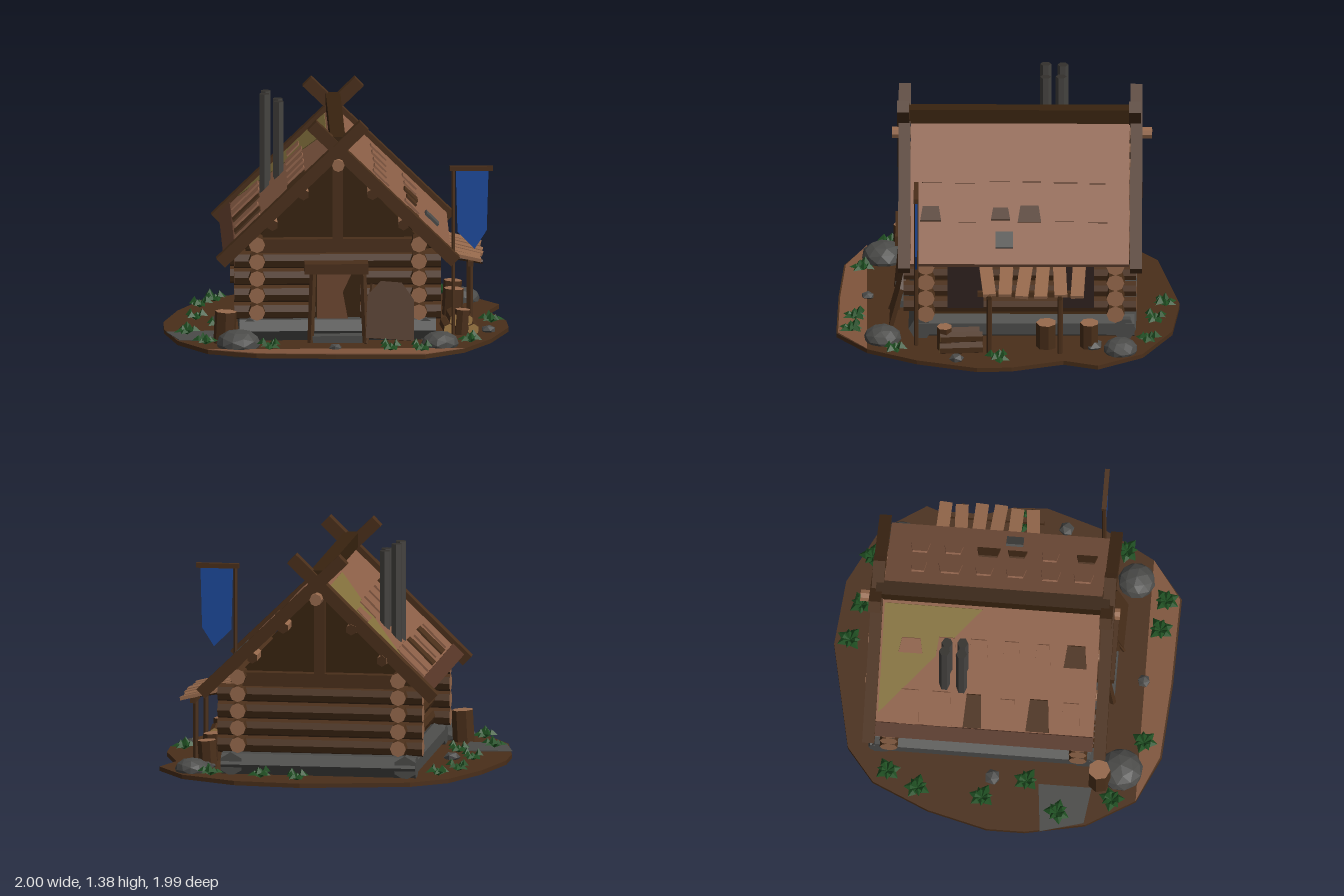
import * as THREE from 'three';

const WOOD = 0x4a2f1a, DARK = 0x38230f, CUT = 0x96694c, ROOF = 0x8c5f47, STONE = 0x4b4b49;
const mats = {};
const mat = (color) => (mats[color] ??= new THREE.MeshStandardMaterial({ color, flatShading: true, side: THREE.DoubleSide }));

export function createModel() {
  const model = new THREE.Group();
  let seed = 7;
  const rnd = () => (seed = (seed * 16807) % 2147483647) / 2147483647;

  function add(name, geo, material, x = 0, y = 0, z = 0, parent = model) {
    const m = new THREE.Mesh(geo, typeof material === 'number' ? mat(material) : material);
    m.name = name;
    m.position.set(x, y, z);
    parent.add(m);
    return m;
  }
  const box = (name, w, h, d, x, y, z, color, parent) => add(name, new THREE.BoxGeometry(w, h, d), color, x, y, z, parent);
  // round timber between two points, with paler cut ends
  function log(name, a, b, r, color = WOOD, end = CUT, sides = 8) {
    const from = new THREE.Vector3(...a), to = new THREE.Vector3(...b);
    const dir = to.clone().sub(from);
    const m = add(name, new THREE.CylinderGeometry(r, r, dir.length(), sides), [mat(color), mat(end), mat(end)]);
    m.position.copy(from).add(to).multiplyScalar(0.5);
    m.quaternion.setFromUnitVectors(new THREE.Vector3(0, 1, 0), dir.normalize());
    return m;
  }
  function flat(points, depth) {
    const s = new THREE.Shape(points.map(([x, y]) => new THREE.Vector2(x, y)));
    return new THREE.ExtrudeGeometry(s, { depth, bevelEnabled: false });
  }

  // ground plate, points are x and z
  const rim = [[-1, 0.19], [-1, -0.03], [-0.91, -0.38], [-0.76, -0.71], [-0.56, -0.87], [0.07, -1], [0.46, -0.96],
    [0.79, -0.79], [0.96, -0.53], [0.89, -0.33], [0.99, -0.03], [1, 0.17], [0.89, 0.52], [0.73, 0.81], [0.5, 0.99],
    [-0.02, 0.98], [-0.48, 0.95], [-0.76, 0.82], [-0.93, 0.54]];
  const plate = (pts, h) => flat(pts.map(([x, z]) => [x, -z]), h).rotateX(-Math.PI / 2);
  add('ground', plate(rim, 0.025), WOOD);
  add('frontPath', plate([[-0.76, 0.82], [0.73, 0.81], [0.5, 0.98], [-0.02, 0.97], [-0.48, 0.94]], 0.004), 0x80553c, 0, 0.025, 0);
  add('sideSlab', plate([[-0.99, 0.28], [-0.7, 0.25], [-0.7, 0.56], [-0.92, 0.53]], 0.004), STONE, 0, 0.025, 0);

  // stone footing
  for (const z of [0.5, -0.68]) log('footing', [-0.57, 0.085, z], [0.57, 0.085, z], 0.07, STONE, STONE, 6);
  for (const x of [-0.51, 0.51]) log('footing', [x, 0.085, 0.54], [x, 0.085, -0.74], 0.07, STONE, STONE, 6);
  box('floor', 1, 0.1, 1.12, 0, 0.09, -0.08, DARK);

  // interlocked log walls, with a gap for the door
  for (let i = 0; i < 5; i++) {
    const y = 0.2 + i * 0.1;
    for (const x of [-0.47, 0.47]) log('sideLog', [x, y, 0.6], [x, y, -0.75], 0.047);
    if (i === 4) continue;
    log('backLog', [-0.6, y - 0.01, -0.63], [0.6, y - 0.01, -0.63], 0.052);
    if (i < 3) {
      log('frontLog', [-0.6, y - 0.01, 0.47], [-0.13, y - 0.01, 0.47], 0.052);
      log('frontLog', [0.13, y - 0.01, 0.47], [0.6, y - 0.01, 0.47], 0.052);
    } else log('frontLog', [-0.6, y - 0.01, 0.47], [0.6, y - 0.01, 0.47], 0.052);
  }

  // gables with tie beam, king post and purlin ends
  for (const [z, out] of [[0.45, 1], [-0.61, -1]]) {
    add('gable', flat([[-0.53, 0.55], [0.53, 0.55], [0, 1.1]], 0.03), DARK, 0, 0, z - 0.015);
    box('tieBeam', 0.9, 0.08, 0.08, 0, 0.58, z + out * 0.04, WOOD);
    box('kingPost', 0.06, 0.46, 0.06, 0, 0.84, z + out * 0.05, WOOD);
    for (const s of [-1, 1]) for (const [x, y] of [[0.2, 0.9], [0.38, 0.72]]) {
      log('purlin', [s * x, y, z], [s * x, y, z + out * 0.17], 0.033, CUT, WOOD, 6);
    }
  }
  log('ridgePole', [0, 1.08, 0.67], [0, 1.08, -0.84], 0.036, CUT);

  // roof slopes, shingle patches and crossed barge boards
  const slope = Math.atan(0.97);
  const shingles = { 1: [[0.24, 0.08], [0.42, 0.07]], '-1': [[0.22, 0.09], [0.5, 0.14]] };
  for (const s of [-1, 1]) {
    const side = new THREE.Group();
    side.name = s > 0 ? 'leftRoof' : 'rightRoof';
    side.position.set(0, 1.145, -0.075);
    side.rotation.z = -s * slope;
    model.add(side);
    const len = 0.645 / Math.cos(slope);
    box('roofSlope', len, 0.04, 1.27, s * len / 2, 0, 0, ROOF, side);
    for (const [x, w] of shingles[s]) for (let i = 0; i < 6; i++) {
      const l = w / Math.cos(slope) * (0.75 + rnd() * 0.4), d = 0.035 + rnd() * 0.02;
      const g = flat([[-l / 2, -d], [l / 2, -d * 1.3], [l / 2, d * 1.3], [-l / 2, d]], 0.012).rotateX(-Math.PI / 2);
      if (s < 0) g.rotateY(Math.PI);
      add('shingle', g, rnd() < 0.2 ? WOOD : ROOF, s * x / Math.cos(slope), 0.019, -0.46 + i * 0.19 + rnd() * 0.03, side);
    }
    if (s < 0) {
      box('roofBoard', 0.09, 0.015, 1.27, -len + 0.045, 0.022, 0, 0x553526, side);
      add('paleThatch', flat([[-0.75, 0.62], [-0.05, 0.62], [-0.05, 0.05]], 0.004).rotateX(-Math.PI / 2), 0x83703c, 0, 0.02, 0, side);
    } else box('roofPatch', 0.1, 0.03, 0.1, 0.75, 0.02, 0.09, STONE, side);
    for (const z of [0.6, -0.745]) {
      const b = box('bargeBoard', 1.16, 0.072, 0.07, s * 0.265, 0.905, z - s * 0.004, WOOD);
      b.rotation.z = -s * 0.77;
    }
  }
  box('ridgeBeam', 0.085, 0.085, 1.36, 0, 1.197, -0.07, DARK);

  // chimney of four upright posts
  [[-0.41, -0.22], [-0.325, -0.22], [-0.4, -0.32], [-0.33, -0.31]].forEach(([x, z], i) => {
    const top = i % 2 ? 1.29 : 1.335;
    log('chimneyPost', [x, 0.6, z], [x, top, z], 0.032, 0x454340, 0x33302c, 6);
  });

  // doorway
  box('doorBack', 0.28, 0.32, 0.02, 0, 0.29, 0.43, DARK);
  add('doorDrape', flat([[-0.12, 0.14], [0.06, 0.14], [0.03, 0.3], [0.09, 0.43], [-0.12, 0.43]], 0.02), 0x6d4630, 0, 0, 0.48);
  for (const s of [-1, 1]) log('doorPost', [s * 0.16, 0.03, 0.64], [s * 0.145, 0.45, 0.6], 0.02, WOOD, WOOD, 5);
  box('doorLintel', 0.37, 0.06, 0.12, -0.01, 0.465, 0.59, WOOD);
  box('doorStep', 0.3, 0.04, 0.1, -0.01, 0.05, 0.6, STONE);

  // leaning panel by the door
  const panel = add('leaningPanel', flat([[-0.14, 0.02], [0.14, 0], [0.14, 0.24], [0.07, 0.34], [-0.05, 0.35], [-0.13, 0.27]], 0.025), WOOD, 0.3, 0.04, 0.66);
  panel.rotation.x = -0.26;
  const prop = log('panelBrace', [0.16, 0.03, 0.68], [0.2, 0.36, 0.56], 0.012, WOOD, WOOD, 5);
  prop.name = 'leaningPole';

  // banner
  log('bannerPole', [0.67, 0.02, 0.525], [0.67, 1.04, 0.525], 0.012, WOOD, WOOD, 6);
  box('bannerBar', 0.25, 0.028, 0.028, 0.775, 1.035, 0.525, WOOD);
  add('bannerCloth', flat([[0.685, 1.025], [0.875, 1.025], [0.865, 0.67], [0.795, 0.56], [0.695, 0.66]], 0.012), 0x1d4a9c, 0, 0, 0.519);

  // side awning and shutters
  for (let i = 0; i < 6; i++) {
    const plank = box('awningPlank', 0.3 - rnd() * 0.04, 0.02, 0.075, 0.71, 0.445, 0.11 - i * 0.105, CUT);
    plank.rotation.set(0.15 * (rnd() - 0.5), 0.2 * (rnd() - 0.5), -0.24);
  }
  box('awningBeam', 0.03, 0.03, 0.6, 0.78, 0.4, -0.13, WOOD);
  for (const z of [0.1, -0.31]) {
    log('awningPost', [0.78, 0.02, z], [0.78, 0.41, z], 0.016, WOOD, WOOD, 6);
    log('awningArm', [0.5, 0.46, z], [0.85, 0.4, z], 0.014, WOOD, WOOD, 6);
  }
  for (const z of [0.24, -0.4]) box('shutter', 0.03, 0.26, 0.21, 0.515, 0.33, z, 0x2e211e);

  // stumps and firewood
  for (const [x, z, r, h] of [[-0.66, 0.6, 0.065, 0.21], [0.68, -0.23, 0.06, 0.18], [0.68, -0.48, 0.055, 0.18], [0.72, 0.36, 0.045, 0.17]]) {
    log('stump', [x, 0.02, z], [x + 0.01, h, z], r, WOOD, CUT, 7);
  }
  for (let i = 0; i < 5; i++) {
    const y = i < 3 ? 0.055 : 0.11, x = 0.63 + (i % 3) * 0.07 + (i > 2 ? 0.035 : 0);
    log('firewood', [x, y, 0.14 + rnd() * 0.03], [x + 0.02, y, 0.36 + rnd() * 0.03], 0.034, WOOD, 0xa07a45, 6);
  }

  // boulders
  for (const [x, z, r] of [[-0.58, 0.72, 0.13], [0.59, 0.72, 0.11], [0.75, -0.66, 0.1], [0.69, -0.5, 0.06], [-0.02, 0.81, 0.04], [0.88, 0.29, 0.045], [-0.68, -0.02, 0.05]]) {
    const rock = add('rock', new THREE.IcosahedronGeometry(r, r > 0.09 ? 1 : 0), STONE, x, 0.03 + r * 0.1, z);
    rock.scale.y = 0.65;
    rock.rotation.y = x * 5;
  }

  // leafy plants, each a ring of folded leaves
  const leaves = [];
  for (let i = 0; i < 7; i++) {
    const a = i / 7 * Math.PI * 2, l = 0.08 - (i % 2) * 0.018, h = 0.04 + (i % 3) * 0.015;
    const p = (r, t, y) => [Math.cos(a + t) * r, y, Math.sin(a + t) * r];
    const base = [0, 0, 0], tip = p(l, 0, h * 0.4), ridge = p(l * 0.5, 0, h);
    for (const t of [-0.6, 0.6]) {
      const edge = p(l * 0.6, t, h * 0.5);
      leaves.push(...base, ...edge, ...ridge, ...edge, ...tip, ...ridge);
    }
  }
  const leafGeo = new THREE.BufferGeometry();
  leafGeo.setAttribute('position', new THREE.Float32BufferAttribute(leaves, 3));
  leafGeo.computeVertexNormals();
  for (const [x, z] of [[0.1, -0.91], [0.32, -0.86], [0.62, -0.82], [-0.69, -0.63], [-0.78, -0.45], [-0.81, -0.07], [-0.69, 0.18],
    [-0.87, 0.37], [-0.77, 0.68], [-0.4, 0.84], [0.3, 0.88], [0.48, 0.9], [0.77, 0.65], [0.9, 0.05]]) {
    const plant = add('plant', leafGeo, 0x1f4f22, x, 0.03, z);
    plant.rotation.y = rnd() * 6;
  }
  return model;
}
